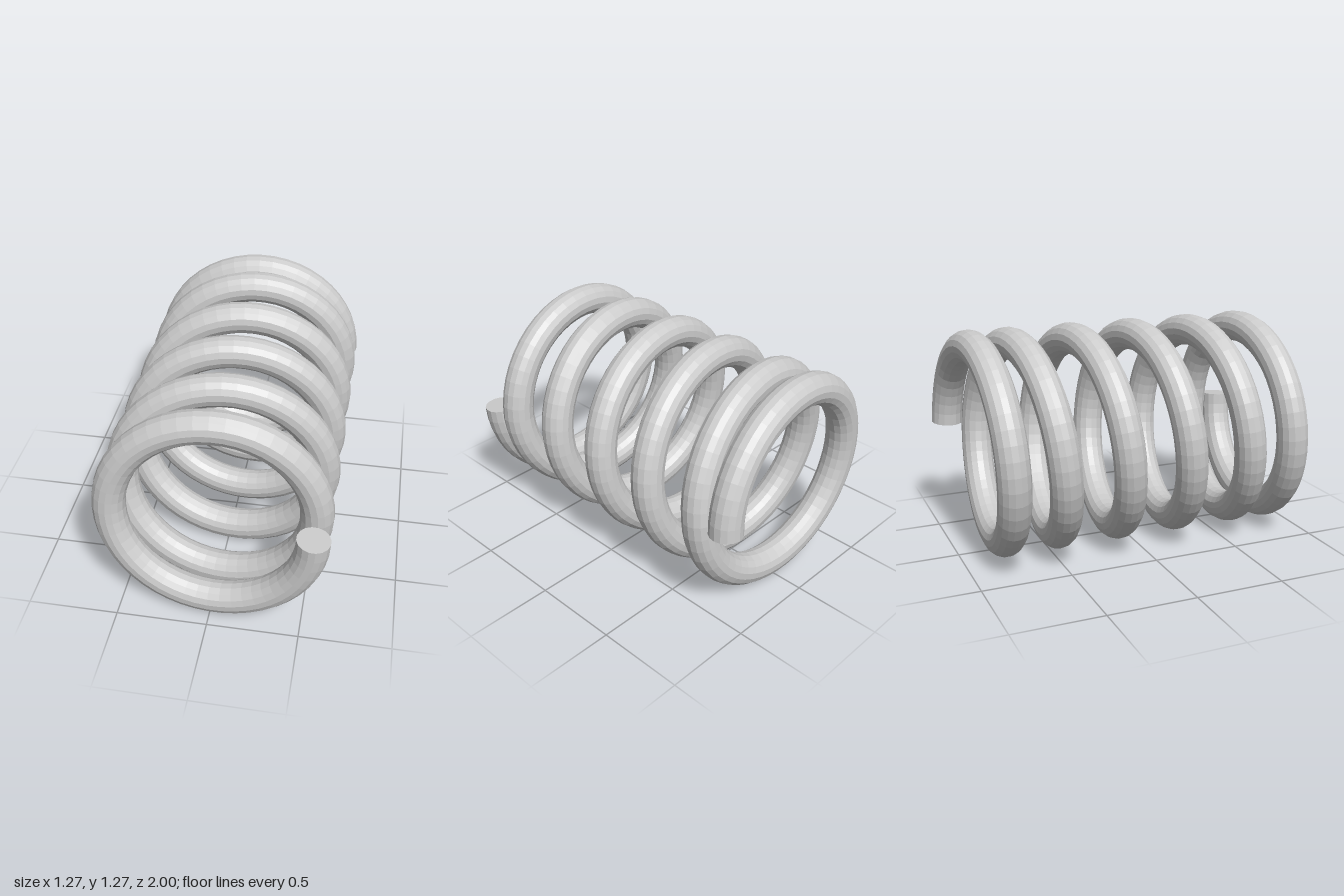
import * as THREE from 'three';

const COIL_RADIUS = 0.545, WIRE_RADIUS = 0.09, TURNS = 6, PITCH = 0.364;
const STEPS_PER_TURN = 48, SIDES = 16, STEPS = TURNS * STEPS_PER_TURN;

// Helix along z, running from the back end to the front; first and last turns have half the pitch
class CoilPath extends THREE.Curve {
  getPoint(t, target = new THREE.Vector3()) {
    const turn = t * TURNS;
    const a = turn * Math.PI * 2;
    const middle = THREE.MathUtils.clamp(turn, 1, TURNS - 1);
    const z = PITCH * (0.5 * (turn - TURNS / 2) + 0.5 * (middle - TURNS / 2));
    return target.set(COIL_RADIUS * Math.cos(a), COIL_RADIUS * Math.sin(a), z);
  }
  // Even steps in angle rather than in length
  getPointAt(t, target) { return this.getPoint(t, target); }
  getTangentAt(t, target = new THREE.Vector3()) {
    const d = 1 / STEPS;
    const before = this.getPoint(Math.max(0, t - d));
    return target.copy(this.getPoint(Math.min(1, t + d))).sub(before).normalize();
  }
}

export function createModel() {
  const group = new THREE.Group();
  group.name = 'coilSpring';
  const material = new THREE.MeshStandardMaterial({ color: 0xcccccc, flatShading: true });

  const add = (name, geometry) => {
    const mesh = new THREE.Mesh(geometry, material);
    mesh.name = name;
    group.add(mesh);
    return mesh;
  };

  // Wound wire
  const path = new CoilPath();
  const wire = new THREE.TubeGeometry(path, STEPS, WIRE_RADIUS, SIDES, false);
  add('coil', wire);

  // Flat cut ends, aligned with the wire's end rings
  for (const [name, index, sign] of [['backEnd', 0, -1], ['frontEnd', STEPS, 1]]) {
    const cap = new THREE.CircleGeometry(WIRE_RADIUS, SIDES);
    cap.applyMatrix4(new THREE.Matrix4().makeBasis(
      wire.normals[index].clone().multiplyScalar(sign),
      wire.binormals[index],
      wire.tangents[index].clone().multiplyScalar(sign)
    ).setPosition(path.getPoint(index / STEPS)));
    add(name, cap);
  }

  // Rest the coil on the ground
  group.position.y = COIL_RADIUS + WIRE_RADIUS;
  return group;
}
